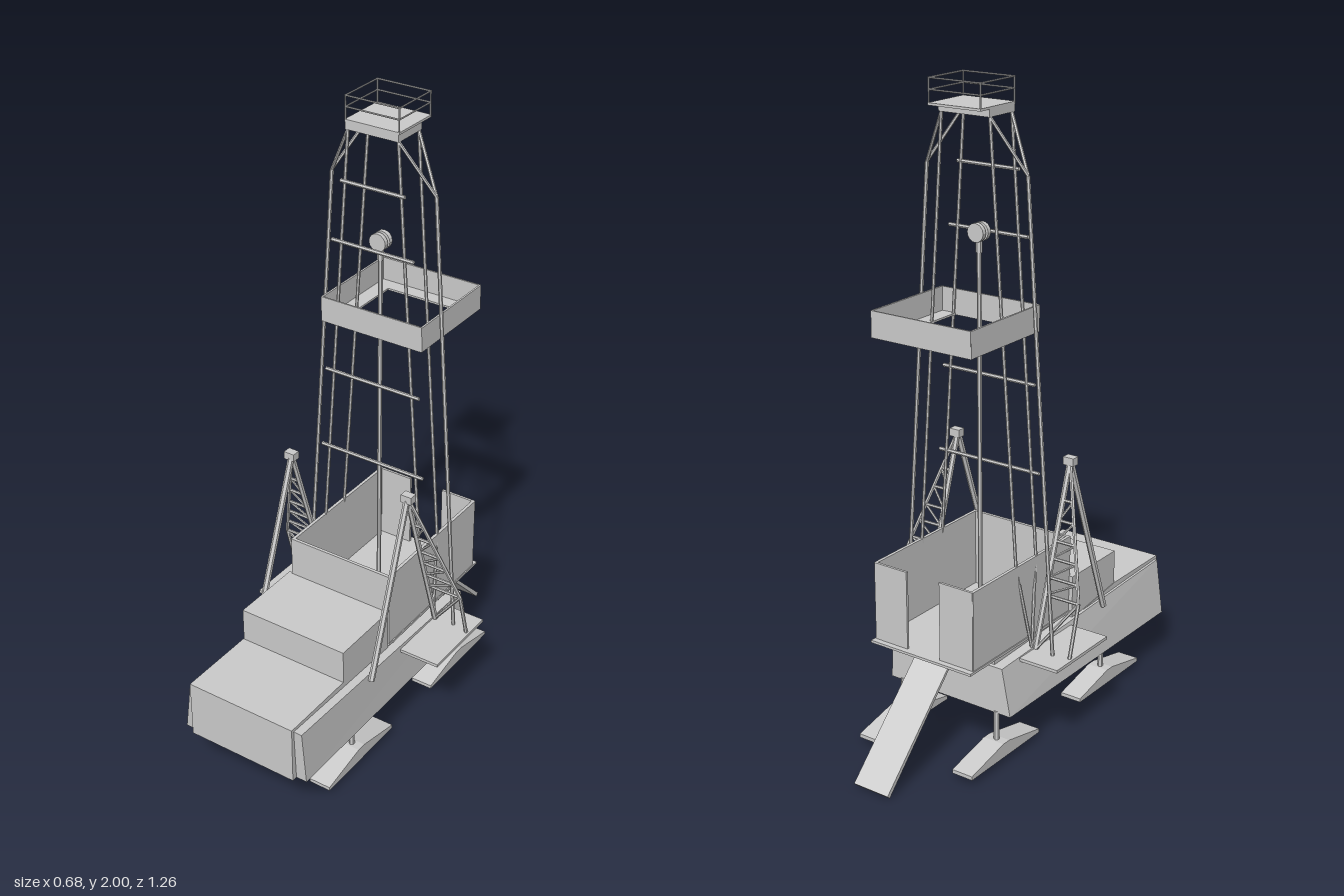
import * as THREE from 'three';

export function createModel() {
  const model = new THREE.Group();
  model.name = 'drillingRig';
  const mat = new THREE.MeshStandardMaterial({ color: 0xcccccc, flatShading: true, side: THREE.DoubleSide });

  const group = (name) => {
    const g = new THREE.Group();
    g.name = name;
    model.add(g);
    return g;
  };
  const add = (parent, name, geo) => {
    const m = new THREE.Mesh(geo, mat);
    m.name = name;
    parent.add(m);
    return m;
  };
  // Box given by its extents on each axis
  const box = (parent, name, x0, x1, y0, y1, z0, z1) => {
    const m = add(parent, name, new THREE.BoxGeometry(x1 - x0, y1 - y0, z1 - z0));
    m.position.set((x0 + x1) / 2, (y0 + y1) / 2, (z0 + z1) / 2);
    return m;
  };
  // Straight tube between two points
  const bar = (parent, name, a, b, r = 0.005) => {
    const p = new THREE.Vector3(...a), q = new THREE.Vector3(...b);
    const m = add(parent, name, new THREE.CylinderGeometry(r, r, p.distanceTo(q), 6));
    m.position.copy(p).lerp(q, 0.5);
    m.quaternion.setFromUnitVectors(new THREE.Vector3(0, 1, 0), q.sub(p).normalize());
    return m;
  };
  // Side profile of [z, y] points, extruded across x
  const sideProfile = (parent, name, pts, x0, x1) => {
    const shape = new THREE.Shape(pts.map(([z, y]) => new THREE.Vector2(-z, y)));
    const geo = new THREE.ExtrudeGeometry(shape, { depth: x1 - x0, bevelEnabled: false });
    geo.rotateY(Math.PI / 2).translate(x0, 0, 0);
    return add(parent, name, geo);
  };
  const lerp = (a, b, t) => a.map((v, i) => v + (b[i] - v) * t);

  // Hull: flared flanks, widest along the bottom
  const hull = group('hull');
  const flank = new THREE.BoxGeometry(1, 1, 1);
  const pos = flank.attributes.position;
  for (let i = 0; i < pos.count; i++) {
    const right = pos.getX(i) < 0, top = pos.getY(i) > 0, front = pos.getZ(i) > 0;
    const x = right ? (top ? -0.205 : -0.235) : (top ? 0.205 : 0.213);
    pos.setXYZ(i, x, top ? (front ? 0.335 : 0.305) : 0.155, front ? (top ? 0.62 : 0.612) : -0.262);
  }
  // the flanks fall slightly toward the middle, under the raised bow
  add(hull, 'hullFlanks', flank);
  sideProfile(hull, 'bow', [[0.63, 0.155], [0.63, 0.345], [0.37, 0.345], [0.1, 0.31], [0.1, 0.155]], -0.197, 0.177);
  box(hull, 'cabin', -0.195, 0.177, 0.3, 0.455, 0.125, 0.368);

  // Drill floor with an open-topped windbreak and a rear doorway
  const floor = group('drillFloor');
  box(floor, 'floorPlate', -0.185, 0.185, 0.33, 0.338, -0.39, 0.13);
  box(floor, 'floorSupport', -0.17, 0.17, 0.3, 0.33, -0.25, 0.13);
  box(floor, 'frontWall', -0.18, 0.175, 0.335, 0.587, 0.12, 0.13);
  for (const s of [-1, 1]) {
    box(floor, 'sideWall', s * 0.177 - 0.005, s * 0.177 + 0.005, 0.335, 0.587, -0.37, 0.13);
    box(floor, 'rearWall', s * 0.12 - 0.06, s * 0.12 + 0.06, 0.335, 0.587, -0.372, -0.364);
  }

  // Pipe ramp
  sideProfile(model, 'ramp', [[-0.318, 0.31], [-0.33, 0.31], [-0.63, 0.01], [-0.62, 0]], -0.065, 0.06);

  // Stabiliser feet
  const feet = group('stabilisers');
  for (const x of [-0.183, 0.17]) {
    for (const z of [0.315, -0.258]) {
      sideProfile(feet, 'foot', [
        [z + 0.172, 0.02], [z + 0.172, 0.032], [z + 0.015, 0.066],
        [z - 0.015, 0.066], [z - 0.172, 0.032], [z - 0.172, 0.02],
      ], x - 0.036, x + 0.036);
      bar(feet, 'footPost', [x, 0.06, z], [x, 0.16, z], 0.009);
    }
  }

  // A-frames with braced outer legs, on side platforms
  for (const s of [-1, 1]) {
    const frame = group(s > 0 ? 'leftAFrame' : 'rightAFrame');
    const apex = [s * 0.21, 0.86, 0.08];
    const inner = [s * 0.21, 0.305, -0.095];
    const knee = [s * 0.328, 0.465, -0.045];
    const innerKnee = [s * 0.21, 0.465, -0.045];
    box(frame, 'sidePlatform', Math.min(s * 0.17, s * 0.34), Math.max(s * 0.17, s * 0.34), 0.295, 0.305, -0.173, 0.1);
    box(frame, 'apexBlock', s * 0.212 - 0.018, s * 0.212 + 0.018, 0.845, 0.87, 0.065, 0.092);
    bar(frame, 'frontLeg', apex, [s * 0.215, 0.305, 0.275], 0.01);
    bar(frame, 'rearLeg', apex, inner, 0.009);
    bar(frame, 'outerLeg', apex, knee, 0.006);
    bar(frame, 'outerFoot', knee, [s * 0.328, 0.3, -0.09], 0.006);
    bar(frame, 'kneeBrace', knee, inner);
    const steps = [0.3, 0.45, 0.6, 0.73, 0.87, 1];
    steps.forEach((t, i) => {
      bar(frame, 'rung', lerp(apex, innerKnee, t), lerp(apex, knee, t));
      if (i > 0) bar(frame, 'diagonal', lerp(apex, innerKnee, t), lerp(apex, knee, steps[i - 1]), 0.004);
    });
  }

  // Tower: four slim corner legs and two outer legs that fork at the crown
  const tower = group('tower');
  for (const s of [-1, 1]) {
    for (const z of [-0.047, -0.15]) {
      bar(tower, 'cornerLeg', [s * 0.083, 1.905, z], [s * 0.175, 0.587, z]);
      bar(tower, 'cornerLegFoot', [s * 0.175, 0.587, z], [s * 0.2, 0.305, -0.1]);
      bar(tower, 'outerLegFork', [s * 0.176, 1.74, -0.1], [s * 0.083, 1.9, z]);
    }
    bar(tower, 'outerLeg', [s * 0.176, 1.74, -0.1], [s * 0.275, 0.3, -0.1], 0.006);
  }
  for (const [y, w] of [[1.742, 0.108], [1.552, 0.14], [1.118, 0.166], [0.847, 0.184]]) {
    bar(tower, 'girt', [-w, y, -0.045], [w, y, -0.045], 0.006);
  }

  // Crown platform with a railing
  const crown = group('crown');
  box(crown, 'crownBlock', -0.088, 0.088, 1.9, 1.925, -0.158, -0.04);
  box(crown, 'crownDeck', -0.09, 0.09, 1.922, 1.929, -0.203, -0.04);
  const corners = [[-0.088, -0.042], [0.088, -0.042], [0.088, -0.2], [-0.088, -0.2]];
  corners.forEach(([x, z], i) => {
    const [x2, z2] = corners[(i + 1) % 4];
    bar(crown, 'railPost', [x, 1.925, z], [x, 2, z], 0.0025);
    for (const y of [1.965, 1.9975]) bar(crown, 'rail', [x, y, z], [x2, y, z2], 0.0025);
  });

  // Racking board: walled gallery around a hole
  const board = group('rackingBoard');
  for (const s of [-1, 1]) {
    box(board, 'boardSideWall', s * 0.173 - 0.003, s * 0.173 + 0.003, 1.28, 1.36, -0.365, -0.038);
    box(board, 'boardSideFloor', s * 0.147 - 0.025, s * 0.147 + 0.025, 1.28, 1.286, -0.365, -0.038);
  }
  box(board, 'boardRearWall', -0.175, 0.175, 1.28, 1.36, -0.366, -0.361);
  box(board, 'boardFrontWall', -0.175, 0.175, 1.28, 1.36, -0.042, -0.037);
  box(board, 'boardRearFloor', -0.175, 0.175, 1.28, 1.286, -0.365, -0.315);

  // Travelling block and drill string
  const hoist = group('hoist');
  for (const z of [-0.088, -0.112]) {
    const sheave = add(hoist, 'sheave', new THREE.CylinderGeometry(0.028, 0.028, 0.014, 16));
    sheave.rotation.x = Math.PI / 2;
    sheave.position.set(-0.008, 1.56, z);
  }
  box(hoist, 'sheaveAxle', -0.018, 0.002, 1.535, 1.57, -0.11, -0.09);
  bar(hoist, 'hook', [-0.008, 1.5, -0.1], [-0.008, 1.54, -0.1], 0.01);
  bar(hoist, 'drillString', [-0.008, 0.335, -0.1], [-0.008, 1.51, -0.1], 0.007);

  return model;
}
